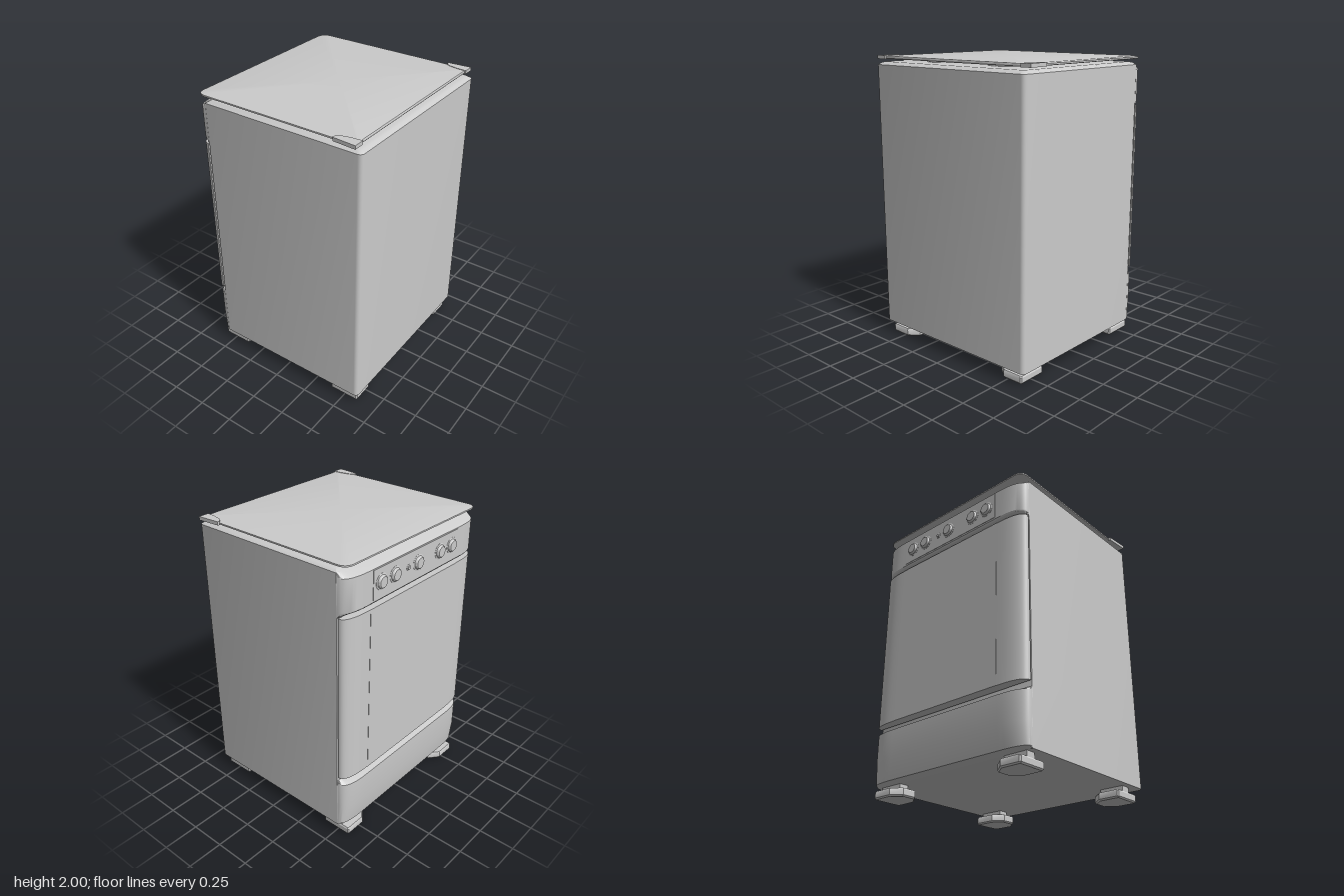
import * as THREE from 'three';
import { toCreasedNormals } from 'three/addons/utils/BufferGeometryUtils.js';

const grey = new THREE.MeshStandardMaterial({ color: 0xcccccc });

function add(parent, name, geometry, x = 0, y = 0, z = 0) {
  const mesh = new THREE.Mesh(geometry, grey);
  mesh.name = name;
  mesh.position.set(x, y, z);
  parent.add(mesh);
  return mesh;
}

// Skins horizontal outlines [y, [[x, z], ...]] stacked upwards and caps both ends.
function loft(rows) {
  const n = rows[0][1].length, pos = [], idx = [];
  for (const [y, pts] of rows) for (const [x, z] of pts) pos.push(x, y, z);
  for (let r = 0; r < rows.length - 1; r++) {
    for (let i = 0; i < n; i++) {
      const a = r * n + i, b = r * n + (i + 1) % n;
      idx.push(a, b, b + n, a, b + n, a + n);
    }
  }
  const last = rows.length - 1;
  for (const r of [0, last]) {
    const [y, pts] = rows[r], c = pos.length / 3;
    const sum = pts.reduce((s, p) => [s[0] + p[0] / n, s[1] + p[1] / n], [0, 0]);
    pos.push(sum[0], y, sum[1]);
    for (let i = 0; i < n; i++) {
      const a = r * n + i, b = r * n + (i + 1) % n;
      if (r === 0) idx.push(c, b, a);
      else idx.push(c, a, b);
    }
  }
  const g = new THREE.BufferGeometry();
  g.setAttribute('position', new THREE.Float32BufferAttribute(pos, 3));
  g.setIndex(idx);
  return toCreasedNormals(g, 0.5);
}

// Rectangle outline with its own corner radius at the -z and +z ends.
function roundRect(w, z0, z1, r0, r1) {
  const pts = [];
  const corners = [[w - r0, z0 + r0, r0], [-w + r0, z0 + r0, r0], [-w + r1, z1 - r1, r1], [w - r1, z1 - r1, r1]];
  corners.forEach(([x, z, r], k) => {
    for (let i = 0; i <= 6; i++) {
      const a = (k + i / 6) * Math.PI / 2;
      pts.push([x + r * Math.cos(a), z - r * Math.sin(a)]);
    }
  });
  return pts;
}

// Outline of an appliance face: flat in the middle, curving back at both sides.
function facePlan(w, zBack, zFront) {
  const pts = [], flat = w - 0.2, steps = 12;
  const right = [];
  for (let i = 0; i <= steps; i++) {
    const a = i / steps * Math.PI / 2;
    const x = flat + 0.2 * Math.pow(Math.cos(a), 0.8);
    right.push([x, zBack + (zFront - zBack) * Math.pow(Math.sin(a), 0.8)]);
  }
  pts.push(...right, ...right.slice().reverse().map(([x, z]) => [-x, z]));
  return pts;
}
const face = (rows) => loft(rows.map(([y, w, zb, zf]) => [y, facePlan(w, zb, zf)]));

export function createModel() {
  const stove = new THREE.Group();
  stove.name = 'stove';

  // Cabinet with a bevelled top edge
  add(stove, 'cabinet', loft([
    [0.09, roundRect(0.66, -0.53, 0.63, 0.002, 0.03)],
    [1.94, roundRect(0.66, -0.53, 0.63, 0.002, 0.03)],
    [1.955, roundRect(0.64, -0.51, 0.61, 0.002, 0.03)],
    [1.96, roundRect(0.62, -0.49, 0.59, 0.002, 0.03)],
  ]));

  // Curved faces: control panel, oven door, drawer
  add(stove, 'controlPanel', face([
    [1.66, 0.66, -0.53, -0.542],
    [1.69, 0.66, -0.53, -0.605],
    [1.70, 0.66, -0.53, -0.612],
    [1.91, 0.66, -0.53, -0.612],
    [1.94, 0.655, -0.525, -0.545],
    [1.958, 0.62, -0.485, -0.492],
  ]));
  add(stove, 'ovenDoor', face([
    [0.5, 0.66, -0.54, -0.61],
    [1.66, 0.66, -0.54, -0.61],
  ]));
  add(stove, 'doorSeal', new THREE.BoxGeometry(1.26, 1.12, 0.02), 0, 1.08, -0.535);
  add(stove, 'doorGlass', new THREE.BoxGeometry(0.9, 1.16, 0.004), 0, 1.08, -0.61);
  add(stove, 'drawer', face([
    [0.09, 0.66, -0.53, -0.535],
    [0.105, 0.66, -0.53, -0.587],
    [0.25, 0.66, -0.53, -0.61],
    [0.44, 0.66, -0.53, -0.61],
    [0.465, 0.66, -0.53, -0.535],
  ]));

  // Control fascia with five knobs and a small button
  add(stove, 'fascia', new THREE.BoxGeometry(0.87, 0.19, 0.006), 0, 1.807, -0.612);
  const turned = (pts) => toCreasedNormals(
    new THREE.LatheGeometry(pts.map(([r, h]) => new THREE.Vector2(r, h)), 32).rotateX(-Math.PI / 2), 0.5);
  const knob = turned([[0.055, 0], [0.053, 0.006], [0.043, 0.009], [0.039, 0.02], [0.034, 0.024], [0, 0.024]]);
  for (const x of [-0.36, -0.23, 0, 0.23, 0.36]) add(stove, 'knob', knob, x, 1.81, -0.61);
  add(stove, 'ignitionButton', turned([[0.022, 0], [0.02, 0.006], [0.013, 0.009], [0.011, 0.013], [0, 0.013]]),
    0.1, 1.81, -0.61);

  // Low burners under the lid
  for (const x of [-0.28, 0.28]) {
    for (const z of [-0.27, 0.3]) {
      add(stove, 'burnerRing', new THREE.TorusGeometry(0.15, 0.006, 8, 40).rotateX(Math.PI / 2), x, 1.961, z);
      add(stove, 'burnerCap', new THREE.CylinderGeometry(0.08, 0.09, 0.01, 32), x, 1.965, z);
    }
  }

  // Lid with a softly bevelled edge
  add(stove, 'lid', loft([
    [1.978, roundRect(0.65, -0.592, 0.588, 0.055, 0.01)],
    [1.981, roundRect(0.657, -0.598, 0.59, 0.06, 0.01)],
    [1.991, roundRect(0.657, -0.598, 0.59, 0.06, 0.01)],
    [1.997, roundRect(0.625, -0.567, 0.588, 0.04, 0.01)],
  ]));

  // Lid hinges and feet, mirrored left and right
  const hinge = [[0.605, 0.6], [0.68, 0.6], [0.668, 0.44], [0.655, 0.435], [0.625, 0.465], [0.61, 0.53]];
  const pad = [[0.62, 0.1], [0.62, -0.1], [0.61, -0.107], [0.47, -0.107], [0.4, -0.05], [0.4, 0.05], [0.47, 0.107], [0.61, 0.107]];
  const mirror = (pts, s) => (s > 0 ? pts : pts.slice().reverse().map(([x, z]) => [-x, z]));
  const shrink = (pts, k) => pts.map(([x, z]) => [0.51 + (x - 0.51) * k, z * k]);
  for (const s of [-1, 1]) {
    add(stove, 'lidHinge', loft([[1.976, mirror(hinge, s)], [2.0, mirror(hinge, s)]]));
    for (const z of [-0.485, 0.495]) {
      const foot = new THREE.Group();
      foot.name = 'foot';
      foot.position.z = z;
      stove.add(foot);
      add(foot, 'footPad', loft([
        [0, mirror(shrink(pad, 0.93), s)],
        [0.01, mirror(pad, s)],
        [0.045, mirror(pad, s)],
        [0.055, mirror(shrink(pad, 0.95), s)],
      ]));
      add(foot, 'footStem', new THREE.BoxGeometry(0.17, 0.05, 0.07), s * 0.53, 0.07, -0.01);
    }
  }
  return stove;
}
